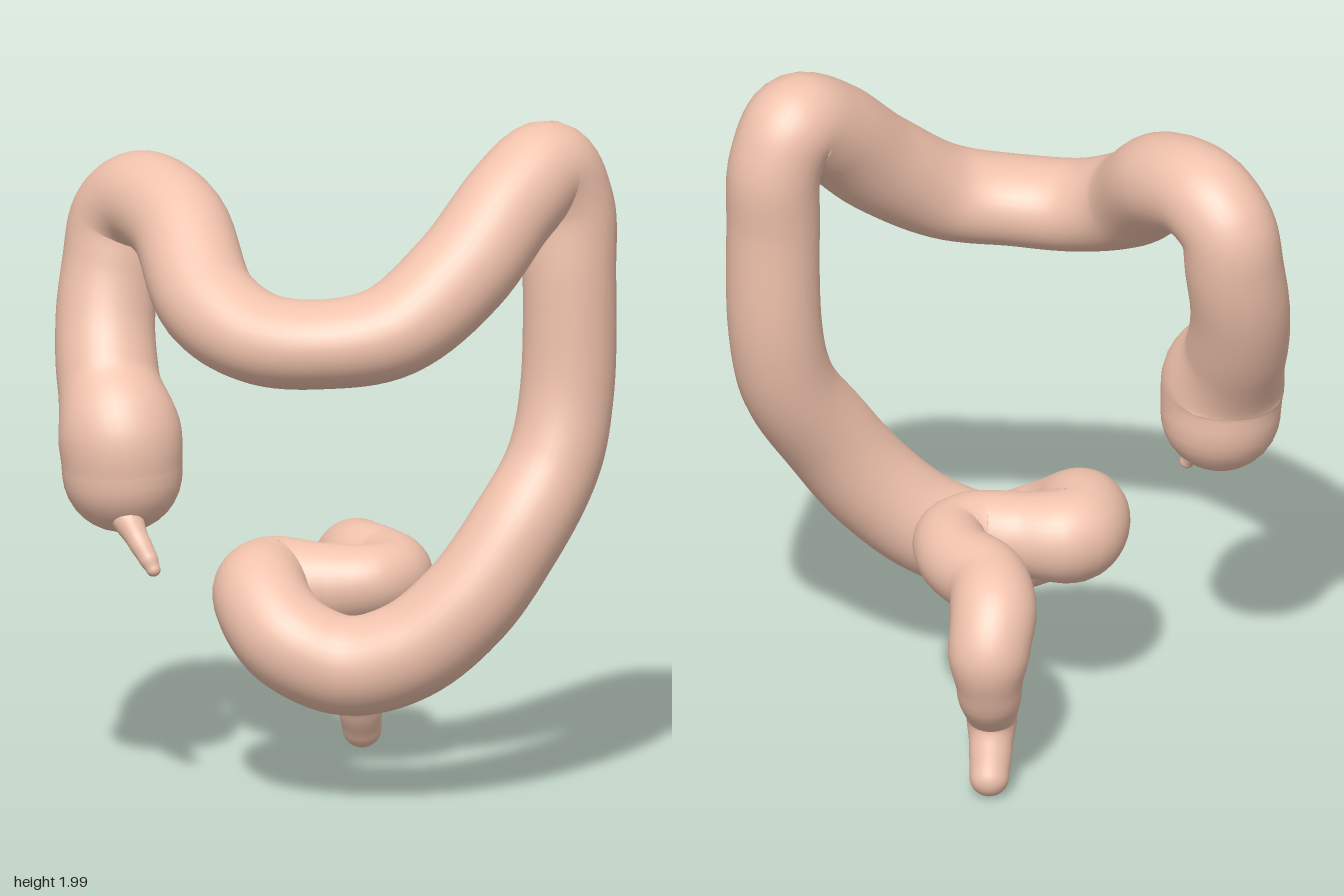
import * as THREE from 'three';

// Centre line stations of each section: x, y, z, radius, and vertical flattening where not 1
const SECTIONS = {
  cecum: [
    [-0.602, 0.945, 0.143, 0.174], [-0.61, 1.05, 0.138, 0.179],
  ],
  ascendingColon: [
    [-0.658, 1.2, 0.045, 0.148], [-0.677, 1.36, -0.03, 0.144], [-0.665, 1.52, -0.075, 0.143],
  ],
  rightFlexure: [
    [-0.645, 1.65, -0.08, 0.14], [-0.57, 1.717, -0.015, 0.142], [-0.44, 1.68, 0.14, 0.145],
  ],
  transverseColon: [
    [-0.315, 1.5, 0.375, 0.147, 0.95], [-0.16, 1.425, 0.468, 0.15, 0.88], [0.03, 1.417, 0.495, 0.153, 0.84],
    [0.23, 1.455, 0.455, 0.153, 0.88], [0.41, 1.605, 0.325, 0.152, 0.95],
  ],
  leftFlexure: [
    [0.54, 1.785, 0.165, 0.147], [0.625, 1.857, 0.05, 0.142], [0.675, 1.75, 0.005, 0.136],
  ],
  descendingColon: [
    [0.683, 1.55, 0.013, 0.135], [0.678, 1.2, 0.027, 0.136], [0.645, 1.0, 0.075, 0.138],
    [0.545, 0.8, 0.17, 0.143],
  ],
  sigmoidColon: [
    [0.415, 0.61, 0.232, 0.146], [0.25, 0.47, 0.263, 0.146], [0.07, 0.42, 0.265, 0.145],
    [-0.1, 0.485, 0.25, 0.144], [-0.197, 0.585, 0.14, 0.14], [-0.185, 0.595, 0.0, 0.14],
    [-0.03, 0.595, -0.01, 0.124], [0.09, 0.605, -0.015, 0.113],
  ],
  rectum: [
    [0.155, 0.61, -0.085, 0.107], [0.125, 0.605, -0.21, 0.112], [0.025, 0.597, -0.335, 0.12],
    [-0.005, 0.565, -0.455, 0.125], [0, 0.475, -0.53, 0.119], [0, 0.35, -0.52, 0.095],
  ],
  analCanal: [
    [0, 0.22, -0.452, 0.073], [0, 0.14, -0.48, 0.063], [0, 0.065, -0.522, 0.057],
  ],
};
const APPENDIX = [
  [-0.575, 0.83, 0.24, 0.045], [-0.535, 0.77, 0.275, 0.033],
  [-0.505, 0.725, 0.295, 0.028], [-0.488, 0.695, 0.305, 0.021],
];

const SIDES = 36, STEPS = 8, CAP = 8;

// Closed tube of varying radius with rounded ends, smooth over its whole length
function organicTube(stations) {
  const curve = new THREE.CatmullRomCurve3(stations.map(([x, y, z]) => new THREE.Vector3(x, y, z)));
  const n = (stations.length - 1) * STEPS;
  const valueAt = (t, column) => {
    const f = t * (stations.length - 1), i = Math.min(Math.floor(f), stations.length - 2);
    const a = stations[i][column] ?? 1, b = stations[i + 1][column] ?? 1;
    return THREE.MathUtils.lerp(a, b, THREE.MathUtils.smoothstep(f - i, 0, 1));
  };

  const rings = [];
  const addCap = (t, sign) => {
    const p = curve.getPoint(t), d = curve.getTangent(t), r = valueAt(t, 3);
    for (let k = 1; k <= CAP; k++) {
      const a = (sign < 0 ? CAP + 1 - k : k) / CAP * Math.PI / 2;
      rings.push({ p: p.clone().addScaledVector(d, sign * r * Math.sin(a)), d, r: Math.max(r * Math.cos(a), 0.0004), flat: 1 });
    }
  };
  addCap(0, -1);
  for (let i = 0; i <= n; i++) {
    const t = i / n;
    rings.push({ p: curve.getPoint(t), d: curve.getTangent(t), r: valueAt(t, 3), flat: valueAt(t, 4) });
  }
  addCap(1, 1);

  // Carry one side direction along the line so that the tube does not twist
  const side = new THREE.Vector3(0, 0, 1), up = new THREE.Vector3(), v = new THREE.Vector3();
  const positions = [], rows = [];
  rings.forEach(({ p, d, r, flat }, j) => {
    side.addScaledVector(d, -side.dot(d)).normalize();
    up.crossVectors(d, side);
    for (let k = 0; k < SIDES; k++) {
      const a = k / SIDES * Math.PI * 2;
      v.set(0, 0, 0).addScaledVector(side, r * Math.cos(a)).addScaledVector(up, r * Math.sin(a));
      positions.push(p.x + v.x, p.y + v.y * flat, p.z + v.z);
    }
    if (j === rings.length - 1) return;
    const row = [];
    for (let k = 0; k < SIDES; k++) {
      const a = j * SIDES + k, b = j * SIDES + (k + 1) % SIDES;
      row.push(a, b, a + SIDES, b, b + SIDES, a + SIDES);
    }
    rows.push(row);
  });

  const geometry = new THREE.BufferGeometry();
  geometry.setAttribute('position', new THREE.Float32BufferAttribute(positions, 3));
  geometry.setIndex(rows.flat());
  geometry.computeVertexNormals();
  return { geometry, rows };
}

export function createModel() {
  const group = new THREE.Group();
  group.name = 'largeIntestine';
  const material = new THREE.MeshStandardMaterial({ color: 0xf0c2ac });
  const addMesh = (name, geometry) => {
    const mesh = new THREE.Mesh(geometry, material);
    mesh.name = name;
    group.add(mesh);
  };

  // One continuous tube, divided into named sections that share vertices
  const { geometry, rows } = organicTube(Object.values(SECTIONS).flat());
  const names = Object.keys(SECTIONS);
  let start = 0, count = 0;
  names.forEach((name, i) => {
    count += SECTIONS[name].length;
    const end = i === names.length - 1 ? rows.length : CAP + count * STEPS;
    const part = new THREE.BufferGeometry();
    part.setAttribute('position', geometry.getAttribute('position'));
    part.setAttribute('normal', geometry.getAttribute('normal'));
    part.setIndex(rows.slice(start, end).flat());
    addMesh(name, part);
    start = end;
  });

  // Small worm-like pouch under the cecum
  addMesh('appendix', organicTube(APPENDIX).geometry);
  return group;
}
